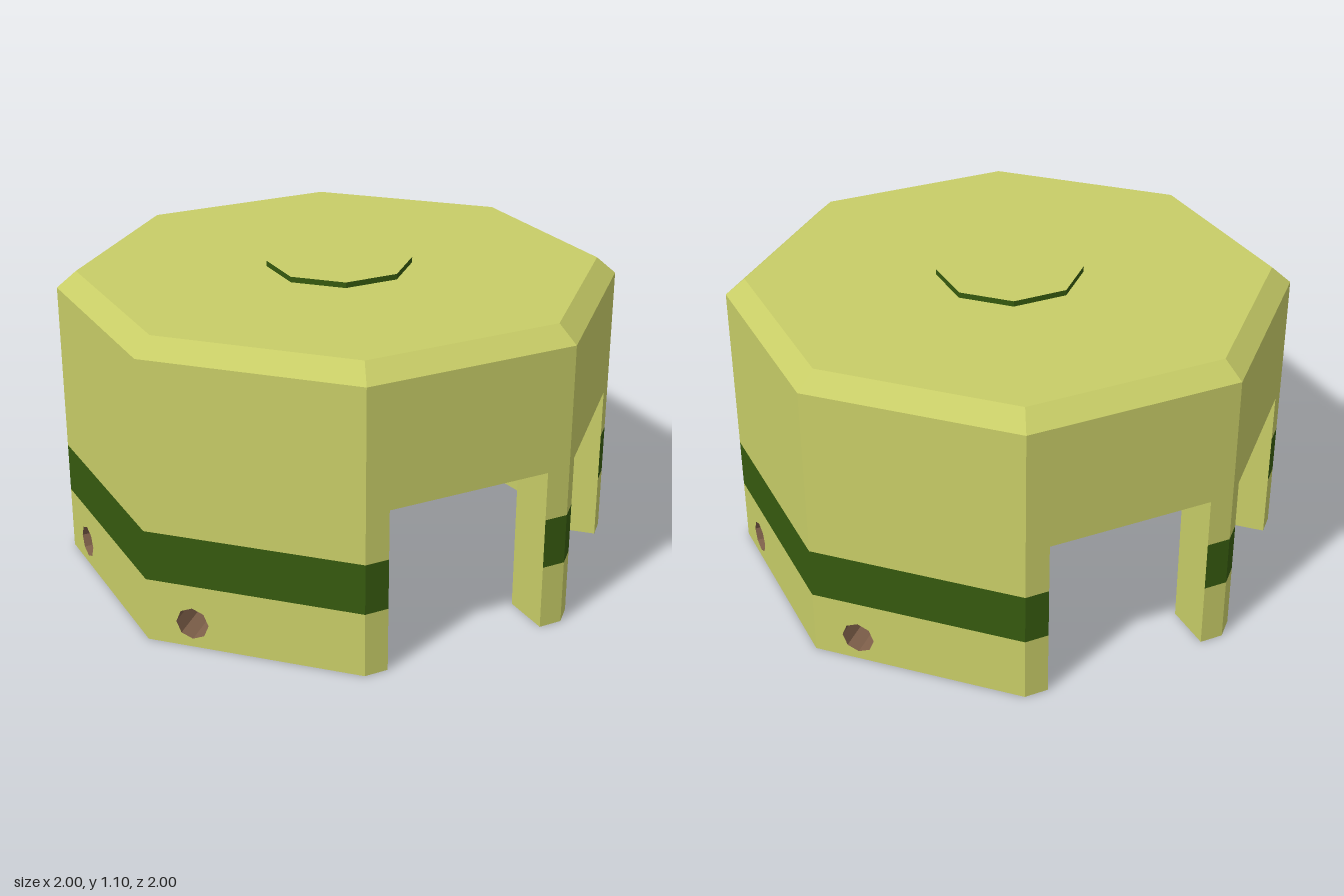
import * as THREE from 'three';

const lime = new THREE.MeshStandardMaterial({ color: 0xc8cd67 });
lime.name = 'lime';
const green = new THREE.MeshStandardMaterial({ color: 0x365a0f });
green.name = 'dark green';
const brown = new THREE.MeshStandardMaterial({ color: 0x80614b });
brown.name = 'brown';

// Octagon of radius 1 with corners on the axes; each side is built in its own
// frame: t runs along the side, d is the distance from the centre.
const HALF = Math.sin(Math.PI / 8), D = Math.cos(Math.PI / 8);
const R = 0.805, INNER = R * HALF;                    // round cavity
const CEILING = 0.625, EAVE = 1.02, TOP = 1.08;
const NOTCH = 0.2975, NOTCH_TOP = 0.585;
const STRIPE = [0.23, 0.41];
const HOLE = { t: -0.22, y: 0.088, r: 0.058 };
const NOTCHED = [1, 2, 5, 6];

// Corners of the cavity wall (four flat facets per side)
const facets = [-2, -1, 0, 1, 2].map(k => k * Math.PI / 16)
  .map(a => [R * Math.sin(a), R * Math.cos(a)]);

// Depth of the cavity wall at t; past its ends, the line to the octagon corner
function innerDepth(t) {
  if (Math.abs(t) >= INNER - 1e-6) return Math.abs(t) * D / HALF;
  const k = facets.findIndex((f, i) => i > 0 && t <= f[0] + 1e-9);
  const [a, b] = [facets[k - 1], facets[k]];
  return a[1] + (b[1] - a[1]) * (t - a[0]) / (b[0] - a[0]);
}

// Adds a quad (t, y, d corners) facing the given direction
function quad(list, frame, corners, facing) {
  const [n, u] = frame;
  const place = ([t, y, d]) => new THREE.Vector3(0, y, 0).addScaledVector(n, d).addScaledVector(u, t);
  const p = corners.map(place);
  const normal = p[2].clone().sub(p[0]).cross(p[3].clone().sub(p[1]));
  if (normal.dot(place(facing)) < 0) p.reverse();
  for (const i of [0, 1, 2, 0, 2, 3]) list.push(p[i].x, p[i].y, p[i].z);
}

function mesh(name, geometry, material) {
  const m = new THREE.Mesh(geometry, material);
  m.name = name;
  return m;
}

function flat(geometry) {
  const g = geometry.index ? geometry.toNonIndexed() : geometry;
  g.computeVertexNormals();
  return g;
}

function buildSide(index, parts) {
  const a = (index + 0.5) * Math.PI / 4;
  const frame = [
    new THREE.Vector3(Math.sin(a), 0, Math.cos(a)),
    new THREE.Vector3(Math.cos(a), 0, -Math.sin(a)),
  ];
  const add = (part, corners, facing) => quad(parts[part], frame, corners, facing);
  const notched = NOTCHED.includes(index);

  const holePoints = [];
  for (let k = 0; k < 8; k++) {
    const b = k * Math.PI / 4;
    holePoints.push([HOLE.t + HOLE.r * Math.cos(b), HOLE.y + HOLE.r * Math.sin(b)]);
  }
  const holeHalf = t => Math.sqrt(Math.max(0, HOLE.r ** 2 - (t - HOLE.t) ** 2));

  // Cut the side into upright columns at every corner, notch and hole edge
  const cuts = [-HALF, HALF, ...facets.map(f => f[0])];
  cuts.push(...(notched ? [-NOTCH, NOTCH] : holePoints.map(p => p[0])));
  cuts.sort((x, y) => x - y);

  for (let i = 1; i < cuts.length; i++) {
    const t0 = cuts[i - 1], t1 = cuts[i], mid = (t0 + t1) / 2;
    if (t1 - t0 < 1e-6) continue;
    const d0 = innerDepth(t0), d1 = innerDepth(t1);
    const open = notched && Math.abs(mid) < NOTCH;
    const holed = !notched && Math.abs(mid - HOLE.t) < HOLE.r;
    const base = open ? NOTCH_TOP : 0;
    const outer = (part, l0, l1, h0, h1) =>
      add(part, [[t0, l0, D], [t1, l1, D], [t1, h1, D], [t0, h0, D]], [0, 0, 1]);
    const inner = (l0, l1, h0, h1) =>
      add('innerWall', [[t0, l0, d0], [t1, l1, d1], [t1, h1, d1], [t0, h0, d0]], [0, 0, -1]);
    const hasInner = Math.abs(mid) < INNER;

    if (open) {
      outer('outerWall', base, base, EAVE, EAVE);
      inner(base, base, CEILING, CEILING);
    } else {
      outer('stripe', STRIPE[0], STRIPE[0], STRIPE[1], STRIPE[1]);
      outer('outerWall', STRIPE[1], STRIPE[1], EAVE, EAVE);
      if (holed) {
        const r0 = holeHalf(t0), r1 = holeHalf(t1), y = HOLE.y;
        outer('outerWall', 0, 0, y - r0, y - r1);
        outer('outerWall', y + r0, y + r1, STRIPE[0], STRIPE[0]);
        inner(0, 0, y - r0, y - r1);
        inner(y + r0, y + r1, CEILING, CEILING);
      } else {
        outer('outerWall', 0, 0, STRIPE[0], STRIPE[0]);
        if (hasInner) inner(0, 0, CEILING, CEILING);
      }
    }
    // Underside of the wall, or of the lintel above a notch
    add('bottomRim', [[t0, base, d0], [t1, base, d1], [t1, base, D], [t0, base, D]], [0, -1, 0]);
  }

  if (notched) {
    for (const s of [-1, 1]) {
      const t = s * NOTCH, d = innerDepth(t);
      add('notchSides', [[t, 0, d], [t, 0, D], [t, NOTCH_TOP, D], [t, NOTCH_TOP, d]], [-s, 0, 0]);
    }
  } else {
    holePoints.forEach(([t0, y0], k) => {
      const [t1, y1] = holePoints[(k + 1) % 8];
      add('screwHoles',
        [[t0, y0, D], [t1, y1, D], [t1, y1, innerDepth(t1)], [t0, y0, innerDepth(t0)]],
        [HOLE.t - (t0 + t1) / 2, HOLE.y - (y0 + y1) / 2, 0]);
    });
  }
}

export function createModel() {
  const model = new THREE.Group();
  model.name = 'octagonalCap';

  // Walls, stripe, notches and holes
  const parts = { outerWall: [], stripe: [], innerWall: [], bottomRim: [], notchSides: [], screwHoles: [] };
  for (let i = 0; i < 8; i++) buildSide(i, parts);
  const colours = { stripe: green, screwHoles: brown };
  for (const [name, list] of Object.entries(parts)) {
    const g = new THREE.BufferGeometry();
    g.setAttribute('position', new THREE.Float32BufferAttribute(list, 3));
    model.add(mesh(name, flat(g), colours[name] || lime));
  }

  // Cavity ceiling
  const ceiling = mesh('ceiling', new THREE.CircleGeometry(R, 32), lime);
  ceiling.rotation.x = Math.PI / 2;
  ceiling.position.y = CEILING;
  model.add(ceiling);

  // Bevelled roof
  const bevel = mesh('roofBevel', flat(new THREE.CylinderGeometry(0.93, 1, TOP - EAVE, 8, 1, true)), lime);
  bevel.position.y = (TOP + EAVE) / 2;
  const roof = mesh('roof', new THREE.CircleGeometry(0.93, 8), lime);
  roof.rotation.x = -Math.PI / 2;
  roof.position.y = TOP;
  model.add(bevel, roof);

  // Raised button with dark edge
  const edge = mesh('buttonEdge', flat(new THREE.CylinderGeometry(0.26, 0.26, 0.02, 8, 1, true)), green);
  edge.position.y = TOP + 0.01;
  const button = mesh('buttonTop', new THREE.CircleGeometry(0.26, 8), lime);
  button.rotation.x = -Math.PI / 2;
  button.position.y = TOP + 0.02;
  model.add(edge, button);

  return model;
}
